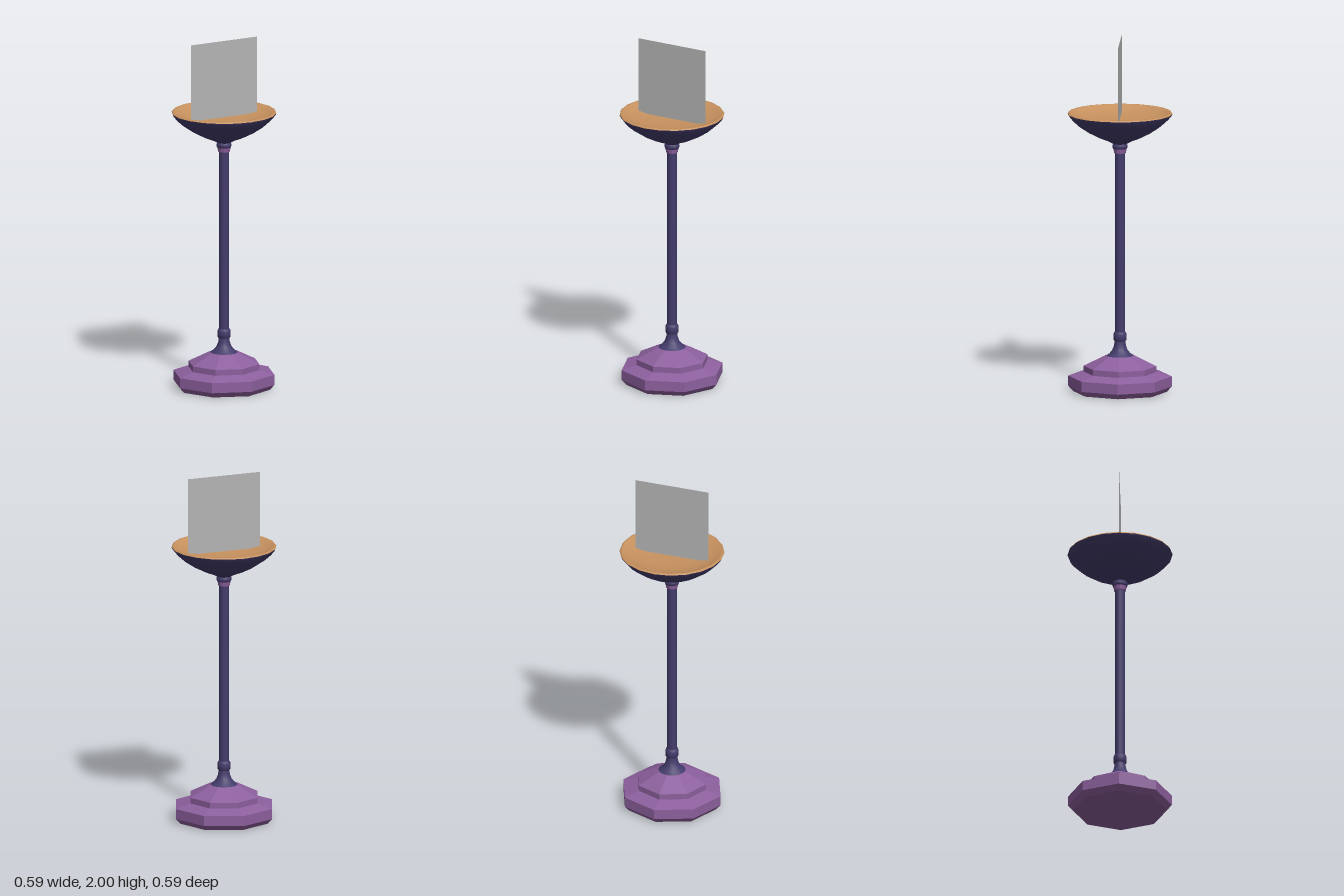
import * as THREE from 'three';

const purple = new THREE.MeshStandardMaterial({ color: 0x8d609e });
purple.name = 'purple';
purple.flatShading = true;
const indigo = new THREE.MeshStandardMaterial({ color: 0x443c6c });
indigo.name = 'indigo';
const tan = new THREE.MeshStandardMaterial({ color: 0xc8925f });
tan.name = 'tan';
const grey = new THREE.MeshStandardMaterial({ color: 0xb4b4b4, side: THREE.DoubleSide });
grey.name = 'grey';

// Turned part from [radius, height] pairs, listed bottom to top along the outside
function turned(name, profile, sides, material) {
  const points = profile.map(([r, y]) => new THREE.Vector2(r, y));
  const mesh = new THREE.Mesh(new THREE.LatheGeometry(points, sides), material);
  mesh.name = name;
  return mesh;
}

export function createModel() {
  const model = new THREE.Group();
  model.name = 'bowlStand';

  // Stepped octagonal foot
  model.add(turned('foot', [
    [0, 0], [0.265, 0], [0.292, 0.03], [0.292, 0.088], [0.205, 0.112],
    [0.205, 0.145], [0.085, 0.205], [0, 0.21],
  ], 8, purple));

  // Flared collar between foot and pole
  model.add(turned('collar', [
    [0.085, 0.2], [0.06, 0.217], [0.042, 0.24], [0.033, 0.265], [0.031, 0.29],
  ], 16, indigo));

  // Pole and its lower ring
  model.add(turned('pole', [[0.028, 0.25], [0.028, 1.38]], 12, indigo));
  model.add(turned('poleRing', [
    [0.028, 0.285], [0.036, 0.293], [0.038, 0.31], [0.038, 0.325], [0.034, 0.338], [0.027, 0.342],
  ], 16, indigo));

  // Neck under the bowl
  model.add(turned('neck', [[0.026, 1.36], [0.033, 1.362], [0.038, 1.39], [0.026, 1.392]], 12, purple));
  model.add(turned('neckRing', [
    [0.028, 1.384], [0.04, 1.388], [0.043, 1.4], [0.04, 1.415], [0.028, 1.42],
  ], 16, indigo));

  // Bowl shell
  model.add(turned('bowlShell', [
    [0, 1.41], [0.035, 1.413], [0.065, 1.43], [0.12, 1.452], [0.18, 1.483],
    [0.235, 1.52], [0.272, 1.553], [0.292, 1.578], [0.296, 1.587],
  ], 20, indigo));

  // Bowl lining with a thin lip
  model.add(turned('bowlLining', [
    [0.296, 1.587], [0.292, 1.594], [0.282, 1.594], [0.262, 1.584], [0.225, 1.571],
    [0.16, 1.56], [0.08, 1.556], [0, 1.555],
  ], 20, tan));

  // Upright flame panel
  const panel = new THREE.Mesh(new THREE.PlaneGeometry(0.44, 0.44), grey);
  panel.name = 'flamePanel';
  panel.position.y = 1.78;
  model.add(panel);

  return model;
}
